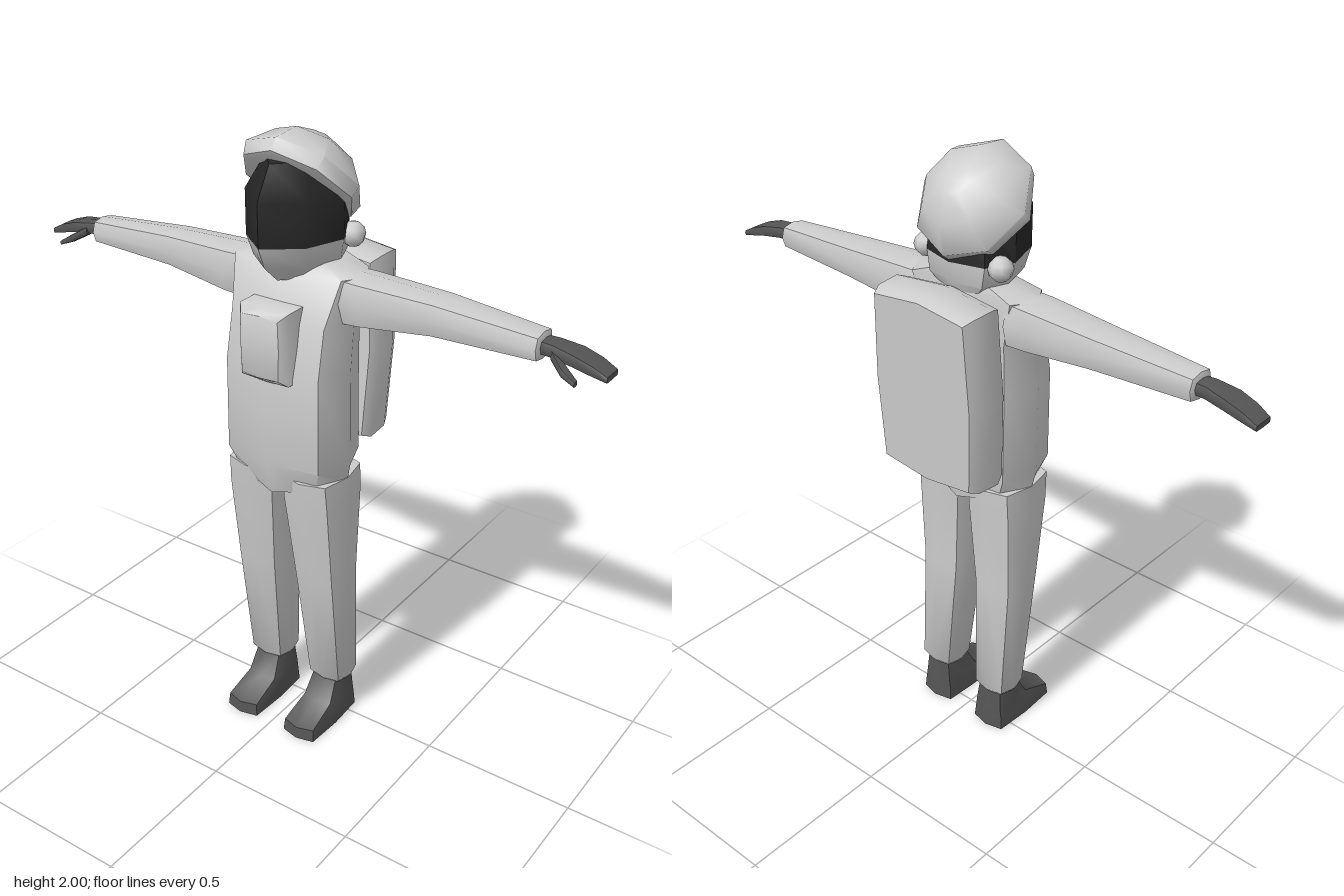
import * as THREE from 'three';
import { toCreasedNormals } from 'three/addons/utils/BufferGeometryUtils.js';

const material = (name, color) => {
  const m = new THREE.MeshStandardMaterial({ color });
  m.name = name;
  return m;
};

// Eight-sided ring across one axis at position a; k sets how square the corners are
function ring(axis, a, u0, u1, v0, v1, k = 0.8) {
  const cu = (u0 + u1) / 2, cv = (v0 + v1) / 2, hu = (u1 - u0) / 2, hv = (v1 - v0) / 2;
  const unit = [[0, 1], [k, k], [1, 0], [k, -k], [0, -1], [-k, -k], [-1, 0], [-k, k]];
  return unit.map(([p, q]) => {
    const u = cu + p * hu, v = cv + q * hv;
    return axis === 'y' ? [u, a, v] : axis === 'x' ? [a, u, v] : [u, v, a];
  });
}

// Ring symmetric in x, given its front, front corner, side, back corner and back as [x, z]
function headRing(y, front, corner, side, backCorner, back) {
  const half = [corner, side, backCorner];
  const loop = [[0, front], ...half, [0, back], ...half.slice().reverse().map(([x, z]) => [-x, z])];
  return loop.map(([x, z]) => [x, y, z]);
}

// Closed skin through the rings, always facing outwards
function loft(rings, crease = 0.85) {
  const n = rings[0].length, pts = rings.flat().map((p) => p.slice()), index = [];
  for (let r = 0; r < rings.length - 1; r++) {
    for (let i = 0; i < n; i++) {
      const a = r * n + i, b = r * n + (i + 1) % n;
      index.push(a, b, a + n, b, b + n, a + n);
    }
  }
  const cap = (start, flip) => {
    const c = pts.length, mid = [0, 0, 0];
    for (let i = 0; i < n; i++) for (let d = 0; d < 3; d++) mid[d] += pts[start + i][d] / n;
    pts.push(mid);
    for (let i = 0; i < n; i++) {
      const a = start + i, b = start + (i + 1) % n;
      index.push(c, flip ? b : a, flip ? a : b);
    }
  };
  cap(0, true);
  cap((rings.length - 1) * n, false);
  let volume = 0;
  const v = pts.map((p) => new THREE.Vector3(...p));
  for (let i = 0; i < index.length; i += 3) {
    volume += v[index[i]].dot(v[index[i + 1]].clone().cross(v[index[i + 2]]));
  }
  if (volume < 0) index.reverse();
  const g = new THREE.BufferGeometry();
  g.setAttribute('position', new THREE.Float32BufferAttribute(pts.flat(), 3));
  g.setIndex(index);
  return toCreasedNormals(g, crease);
}

export function createModel() {
  const suit = material('suit', 0xcccccc);
  const dark = material('gloves and boots', 0x555555);
  const glass = material('visor', 0x262626);
  const model = new THREE.Group();
  const add = (name, geometry, mat) => {
    const mesh = new THREE.Mesh(geometry, mat);
    mesh.name = name;
    model.add(mesh);
    return mesh;
  };

  // Torso, with a hem that dips in the middle
  const hem = ring('y', 0.93, -0.195, 0.195, -0.07, 0.18, 0.72)
    .map(([x, y, z]) => [x, y - 0.04 * (1 - Math.abs(x) / 0.195), z]);
  add('torso', loft([
    hem,
    ring('y', 1.0, -0.21, 0.21, -0.075, 0.2),
    ring('y', 1.3, -0.207, 0.207, -0.07, 0.2),
    ring('y', 1.46, -0.205, 0.205, -0.07, 0.165),
    ring('y', 1.6, -0.235, 0.235, -0.07, 0.11),
    ring('y', 1.63, -0.14, 0.14, -0.065, 0.08),
  ]), suit);

  // Chest unit
  add('chestUnit', loft([
    ring('z', 0.12, -0.088, 0.088, 1.28, 1.515, 0.97),
    ring('z', 0.205, -0.088, 0.088, 1.28, 1.515, 0.97),
    ring('z', 0.23, -0.068, 0.068, 1.3, 1.495, 0.95),
  ]), suit);

  // Backpack, leaning back towards the top
  const packRing = (z, inset) => ring('z', z, -0.2 + inset, 0.2 - inset, 1.0 + inset, 1.63 - inset, 0.93)
    .map(([x, y, d]) => [x, y, d - (y - 1) * 0.048]);
  add('backpack', loft([
    packRing(-0.055, 0.015), packRing(-0.09, 0), packRing(-0.17, 0.004), packRing(-0.203, 0.018),
  ], 1.0), suit);

  // Lower helmet and visor share one ring where they meet
  const seam = headRing(1.695, 0.227, [0.105, 0.145], [0.148, 0.02], [0.11, -0.07], -0.1);
  add('helmetJaw', loft([
    headRing(1.575, 0.14, [0.05, 0.09], [0.07, 0.01], [0.05, -0.05], -0.06),
    headRing(1.63, 0.2, [0.095, 0.125], [0.132, 0.01], [0.1, -0.07], -0.09),
    seam,
  ]), suit);
  add('visor', loft([
    seam,
    headRing(1.83, 0.23, [0.11, 0.14], [0.15, 0.02], [0.1, -0.06], -0.08),
    headRing(1.925, 0.172, [0.07, 0.095], [0.1, 0.02], [0.07, -0.03], -0.05),
  ]), glass);

  // Helmet shell: a dome tilted back, with its rim running diagonally past the visor
  const shellRing = (h, r, k) => ring('y', h, -r, r, -r, r, k);
  const shell = add('helmetShell', loft([
    shellRing(0, 0.168, 0.64),
    shellRing(0.004, 0.184, 0.68),
    shellRing(0.045, 0.188, 0.71),
    shellRing(0.12, 0.128, 0.71),
    shellRing(0.16, 0.05, 0.71),
  ], 1.0), suit);
  shell.position.set(0, 1.825, 0.04);
  shell.rotation.x = -0.81;

  for (const s of [1, -1]) {
    const side = s > 0 ? 'left' : 'right';
    const mirrored = (rings) => loft(rings.map((r) => r.map(([x, y, z]) => [x * s, y, z])));

    // Earpiece
    const ear = add(side + 'Earpiece', new THREE.SphereGeometry(0.038, 8, 6), suit);
    ear.position.set(s * 0.142, 1.693, -0.037);

    // Arm
    add(side + 'Arm', mirrored([
      ring('x', 0.17, 1.45, 1.612, -0.06, 0.1),
      ring('x', 0.24, 1.455, 1.61, -0.062, 0.1),
      ring('x', 0.47, 1.483, 1.597, -0.06, 0.08),
      ring('x', 0.785, 1.492, 1.573, -0.035, 0.066),
      ring('x', 0.79, 1.505, 1.56, -0.025, 0.055),
    ]), suit);

    // Hand and thumb
    add(side + 'Hand', mirrored([
      ring('x', 0.77, 1.512, 1.557, -0.018, 0.045),
      ring('x', 0.82, 1.512, 1.556, -0.022, 0.052),
      ring('x', 0.885, 1.507, 1.543, -0.028, 0.055, 0.9),
      ring('x', 0.94, 1.494, 1.525, -0.028, 0.052, 0.9),
      ring('x', 0.983, 1.484, 1.502, -0.026, 0.046, 0.9),
    ]), dark);
    add(side + 'Thumb', mirrored([
      ring('x', 0.825, 1.51, 1.54, 0.025, 0.055),
      ring('x', 0.87, 1.485, 1.512, 0.05, 0.085),
      ring('x', 0.912, 1.47, 1.485, 0.068, 0.09),
    ]), dark);

    // Leg
    add(side + 'Leg', mirrored([
      ring('y', 0.95, 0, 0.2, -0.065, 0.178),
      ring('y', 0.86, 0.004, 0.204, -0.062, 0.17),
      ring('y', 0.57, 0.026, 0.198, -0.045, 0.13),
      ring('y', 0.16, 0.048, 0.19, -0.062, 0.073),
      ring('y', 0.145, 0.06, 0.178, -0.05, 0.06),
    ]), suit);

    // Boot
    add(side + 'Boot', mirrored([
      ring('y', 0, 0.05, 0.182, -0.06, 0.22, 0.9),
      ring('y', 0.042, 0.052, 0.18, -0.06, 0.218, 0.88),
      ring('y', 0.08, 0.055, 0.176, -0.055, 0.105, 0.85),
      ring('y', 0.155, 0.062, 0.172, -0.05, 0.065, 0.8),
    ]), dark);
  }
  return model;
}
